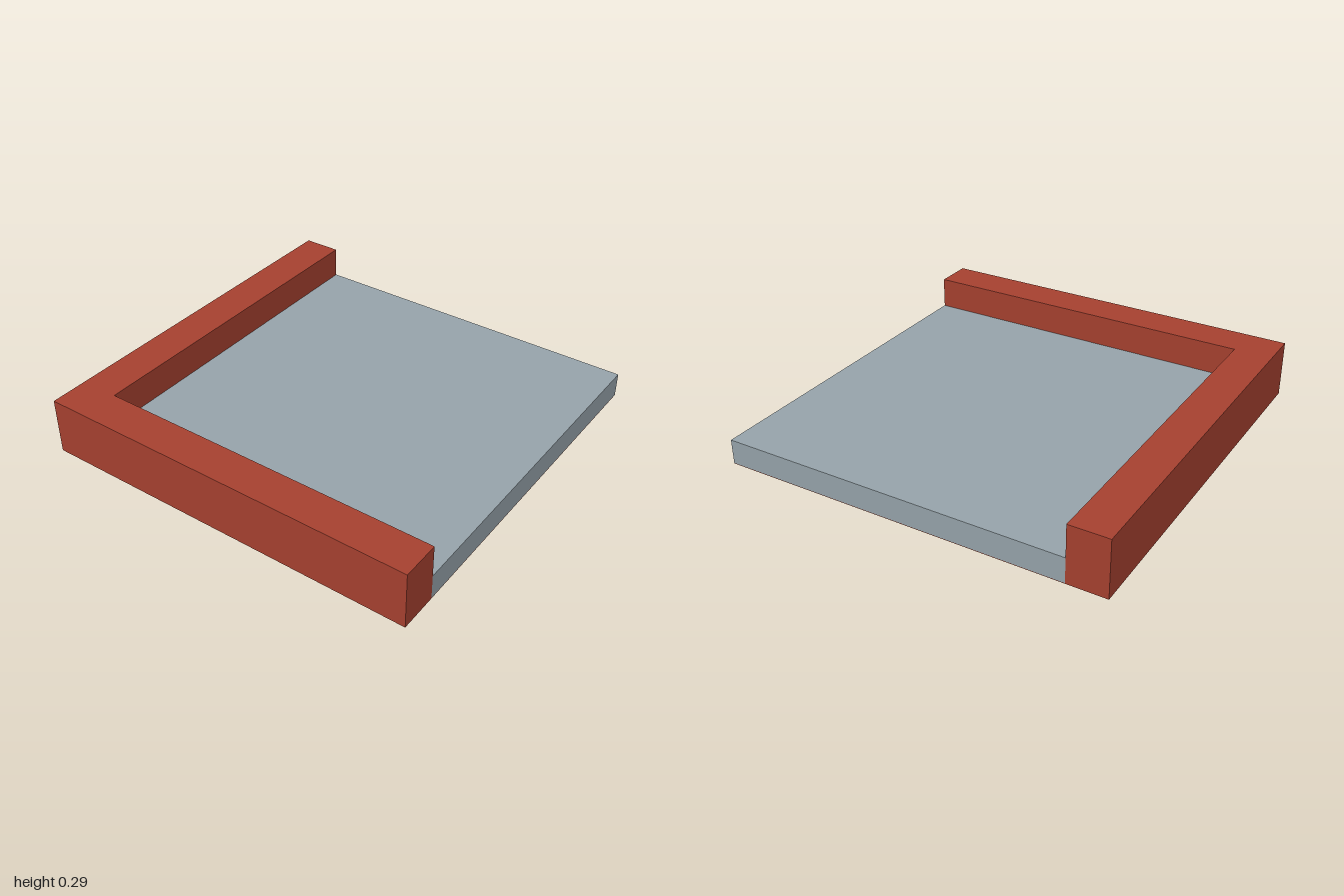
import * as THREE from 'three';

const WALL_H = 0.295, SLAB_H = 0.13, WALL_T = 0.2, BASE_H = 0.003;

// Extrudes a floor plan given as [x, z] corners upwards from y0 to y1.
function extrudePlan(name, corners, y0, y1, material) {
  const shape = new THREE.Shape(corners.map(([x, z]) => new THREE.Vector2(x, -z)));
  const geometry = new THREE.ExtrudeGeometry(shape, { depth: y1 - y0, bevelEnabled: false });
  geometry.rotateX(-Math.PI / 2);
  geometry.translate(0, y0, 0);
  const mesh = new THREE.Mesh(geometry, material);
  mesh.name = name;
  return mesh;
}

export function createModel() {
  const red = new THREE.MeshStandardMaterial({ color: 0xa5402f });
  const grey = new THREE.MeshStandardMaterial({ color: 0x95a2a9 });
  const inner = -1 + WALL_T;
  const floor = [[inner, 1], [1, 1], [1, inner], [inner, inner]];

  const group = new THREE.Group();
  group.name = 'cornerRoofTile';

  // L-shaped parapet along the right and back edges
  group.add(extrudePlan('cornerParapet',
    [[-1, 1], [inner, 1], [inner, inner], [1, inner], [1, -1], [-1, -1]], 0, WALL_H, red));

  // Flat slab inside the parapet, over a thin red underside
  group.add(extrudePlan('floorSlab', floor, BASE_H, SLAB_H, grey));
  group.add(extrudePlan('underside', floor, 0, BASE_H, red));

  return group;
}
